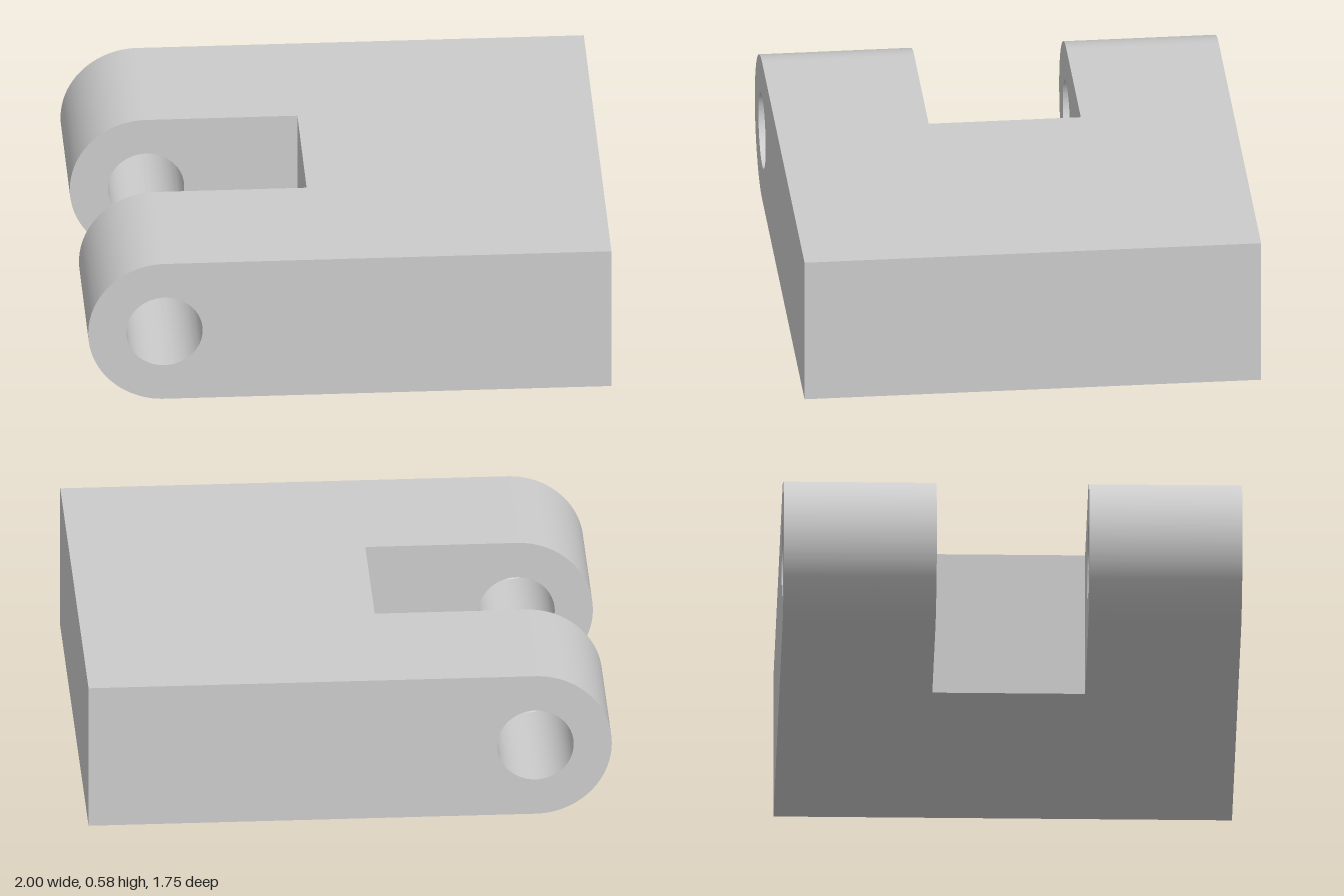
import * as THREE from 'three';
import { toCreasedNormals } from 'three/addons/utils/BufferGeometryUtils.js';

const H = 0.583, R = H / 2;      // height and radius of the rounded arm ends
const HALF_Z = 0.875;            // half the depth
const SLOT_Z = 0.2915;           // half the slot width
const SLOT_X = -0.13;            // floor of the slot
const HOLE_X = -1 + R, HOLE_R = 0.146;

// Remove the wall of an arm that would lie hidden against the body
function dropWallAt(geometry, x) {
  const p = geometry.attributes.position;
  const kept = [];
  for (let i = 0; i < p.count; i += 3) {
    if ([0, 1, 2].every((k) => Math.abs(p.getX(i + k) - x) < 1e-5)) continue;
    for (let k = 0; k < 3; k++) kept.push(p.getX(i + k), p.getY(i + k), p.getZ(i + k));
  }
  const out = new THREE.BufferGeometry();
  out.setAttribute('position', new THREE.Float32BufferAttribute(kept, 3));
  return out;
}

// Solid block; its -x face is narrowed to the slot floor between the arms
function bodyGeometry() {
  const g = new THREE.BoxGeometry(1 - SLOT_X, H, HALF_Z * 2);
  g.translate((1 + SLOT_X) / 2, R, 0);
  const p = g.attributes.position;
  for (let i = 4; i < 8; i++) p.setZ(i, Math.sign(p.getZ(i)) * SLOT_Z);
  return g;
}

// Round-ended arm with a pin hole
function armGeometry() {
  const s = new THREE.Shape();
  s.moveTo(SLOT_X, 0);
  s.lineTo(SLOT_X, H);
  s.lineTo(HOLE_X, H);
  s.absarc(HOLE_X, R, R, Math.PI / 2, Math.PI * 1.5, false);
  s.closePath();
  const hole = new THREE.Path();
  hole.absarc(HOLE_X, R, HOLE_R, 0, Math.PI * 2, true);
  s.holes.push(hole);
  const g = new THREE.ExtrudeGeometry(s, {
    depth: HALF_Z - SLOT_Z, bevelEnabled: false, curveSegments: 48,
  });
  return toCreasedNormals(dropWallAt(g, SLOT_X), 0.5);
}

export function createModel() {
  const group = new THREE.Group();
  group.name = 'clevisBlock';
  const material = new THREE.MeshStandardMaterial({ color: 0xcccccc });

  const body = new THREE.Mesh(bodyGeometry(), material);
  body.name = 'body';
  group.add(body);

  const arm = armGeometry();
  for (const [name, z] of [['frontArm', SLOT_Z], ['backArm', -HALF_Z]]) {
    const mesh = new THREE.Mesh(arm, material);
    mesh.name = name;
    mesh.position.z = z;
    group.add(mesh);
  }
  return group;
}
